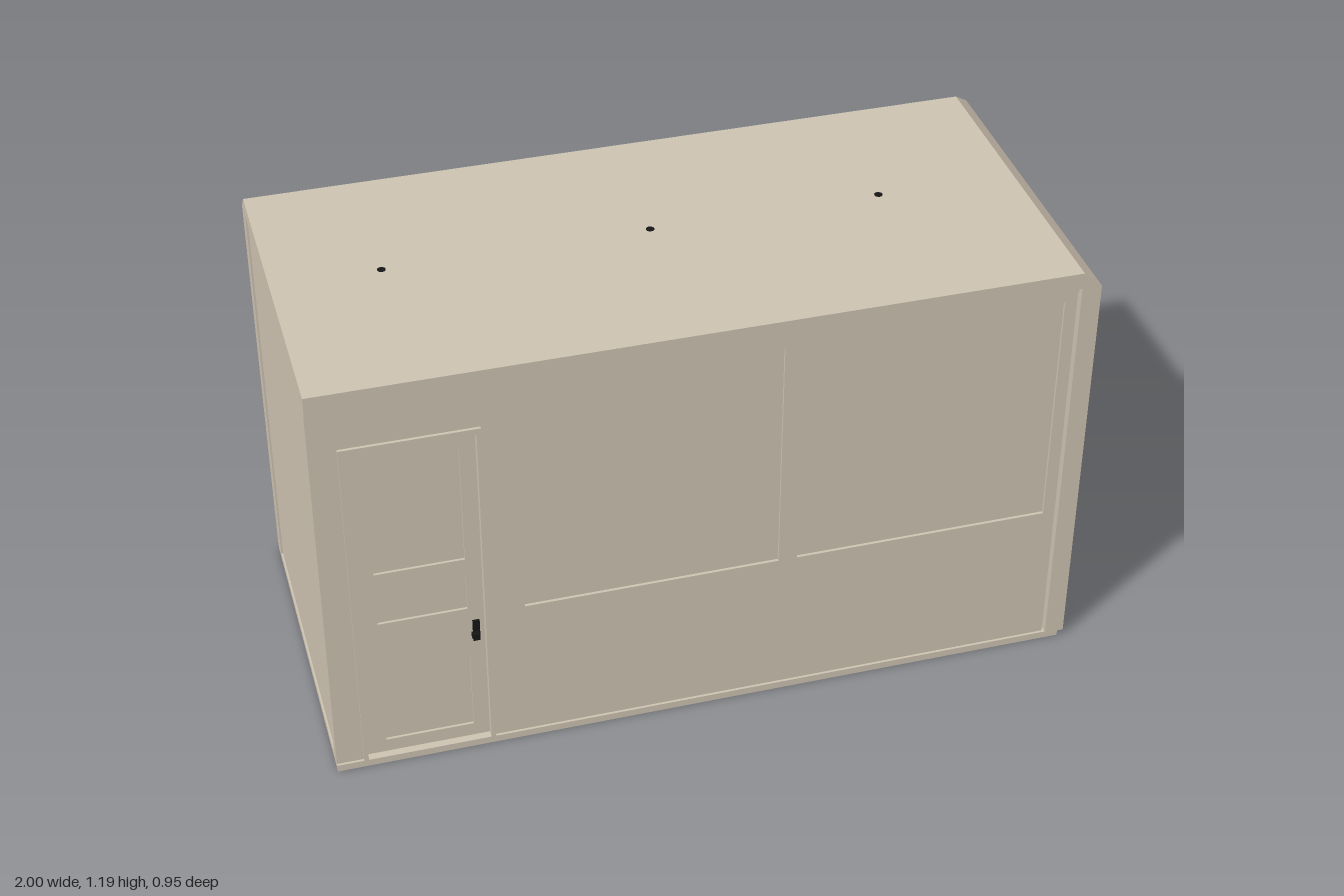
import * as THREE from 'three';

export function createModel() {
  const model = new THREE.Group();
  const plaster = new THREE.MeshStandardMaterial({ color: 0xcdc2b1 });
  plaster.name = 'warm plaster';
  const black = new THREE.MeshStandardMaterial({ color: 0x151515 });
  black.name = 'black metal';

  const add = (name, geometry, material = plaster, parent = model) => {
    const mesh = new THREE.Mesh(geometry, material);
    mesh.name = name;
    parent.add(mesh);
    return mesh;
  };
  // Box given by its lower and upper limits on each axis
  const box = (name, x0, x1, y0, y1, z0, z1, material, parent) =>
    add(name, new THREE.BoxGeometry(x1 - x0, y1 - y0, z1 - z0), material, parent)
      .position.set((x0 + x1) / 2, (y0 + y1) / 2, (z0 + z1) / 2);
  const rect = (x0, x1, y0, y1, Type = THREE.Shape) => new Type([
    [x0, y0], [x1, y0], [x1, y1], [x0, y1],
  ].map(([x, y]) => new THREE.Vector2(x, y)));
  // Upright slab with holes, extruded from z0 to z1
  const slab = (name, shape, z0, z1, material, parent) =>
    add(name, new THREE.ExtrudeGeometry(shape, { depth: z1 - z0, bevelEnabled: false, curveSegments: 48 }),
      material, parent).position.z = z0;

  // Floor, inner body, side walls
  box('floor', -1, 0.985, 0, 0.02, -0.472, 0.472);
  box('roomBody', -0.99, 0.94, 0.02, 1.145, -0.42, 0.42);
  box('rightWall', 0.948, 1, 0.018, 1.145, -0.475, 0.475);
  box('leftWall', -0.995, -0.95, 0.02, 1.145, -0.425, 0.425);

  // Roof slab with sloping back and right edges
  const lo = 1.145, hi = 1.19;
  const A = [-1, lo, 0.475], B = [1, lo, 0.475], C = [1, lo, -0.475], D = [-1, lo, -0.475];
  const E = [-1, hi, 0.475], F = [0.95, hi, 0.475], G = [0.95, hi, -0.43], H = [-1, hi, -0.43];
  const corners = [];
  for (const [a, b, c, d] of [[A, B, F, E], [B, C, G, F], [C, D, H, G], [D, A, E, H], [E, F, G, H], [D, C, B, A]])
    corners.push(...a, ...b, ...c, ...a, ...c, ...d);
  const roof = new THREE.BufferGeometry();
  roof.setAttribute('position', new THREE.Float32BufferAttribute(corners, 3));
  roof.computeVertexNormals();
  add('roof', roof);

  // Ceiling fixing points
  for (const x of [-0.72, -0.03, 0.58])
    add('ceilingFixing', new THREE.CylinderGeometry(0.011, 0.011, 0.006, 12), black).position.set(x, 1.188, -0.01);

  // Front wall with door opening and two recessed panels
  const panels = [[-0.49, 0.18, 0.435, 1.105], [0.23, 0.91, 0.435, 1.105]];
  const front = rect(-1, 0.942, 0.02, 1.13);
  front.holes.push(rect(-0.93, -0.582, 0.021, 1.02, THREE.Path));
  for (const p of panels) {
    front.holes.push(rect(...p, THREE.Path));
    box('frontPanel', ...p, 0.42, 0.457);
  }
  slab('frontWall', front, 0.42, 0.465);
  box('lowerCornice', -1, 0.942, 1.13, 1.155, 0.42, 0.47);

  // Door with frame, three sunk panels and a handle
  const door = new THREE.Group();
  door.name = 'door';
  model.add(door);
  const frame = rect(-0.93, -0.582, 0.02, 1.02);
  frame.holes.push(rect(-0.918, -0.594, 0.021, 1.003, THREE.Path));
  slab('doorFrame', frame, 0.42, 0.473, plaster, door);
  const leaf = rect(-0.918, -0.594, 0.02, 1.003);
  for (const [y0, y1] of [[0.06, 0.29], [0.45, 0.56], [0.61, 0.96]])
    leaf.holes.push(rect(-0.865, -0.635, y0, y1, THREE.Path));
  slab('doorLeaf', leaf, 0.42, 0.452, plaster, door);
  box('doorPanels', -0.87, -0.63, 0.05, 0.97, 0.42, 0.445, plaster, door);
  box('handlePlate', -0.625, -0.607, 0.345, 0.41, 0.452, 0.458, black, door);
  box('handleLever', -0.63, -0.612, 0.365, 0.377, 0.458, 0.472, black, door);

  // Back wall with an oval window opening
  const cx = 0.03, cy = 0.675, rx = 0.21, ry = 0.305;
  const oval = (s, Type) => new Type().absellipse(cx, cy, rx - s, ry - s, 0, Math.PI * 2);
  const back = rect(-1, 0.95, 0.02, 1.145);
  back.holes.push(oval(0, THREE.Path));
  slab('backWall', back, -0.475, -0.42);

  // Oval window: rim, black frame and crossing bars over the pane
  const win = new THREE.Group();
  win.name = 'ovalWindow';
  model.add(win);
  const rim = oval(0, THREE.Shape);
  rim.holes.push(oval(0.012, THREE.Path));
  slab('windowRim', rim, -0.465, -0.425, plaster, win);
  const ring = oval(0.012, THREE.Shape);
  ring.holes.push(oval(0.027, THREE.Path));
  slab('windowFrame', ring, -0.448, -0.421, black, win);
  for (const side of [-1, 1]) {
    const dx = side * 0.065, dy = side * 0.1;
    const h = (ry - 0.02) * Math.sqrt(1 - (dx / rx) ** 2);
    const w = (rx - 0.02) * Math.sqrt(1 - (dy / ry) ** 2);
    box('uprightBar', cx + dx - 0.007, cx + dx + 0.007, cy - h, cy + h, -0.44, -0.421, black, win);
    box('crossBar', cx - w, cx + w, cy + dy - 0.007, cy + dy + 0.007, -0.439, -0.421, black, win);
  }
  return model;
}
